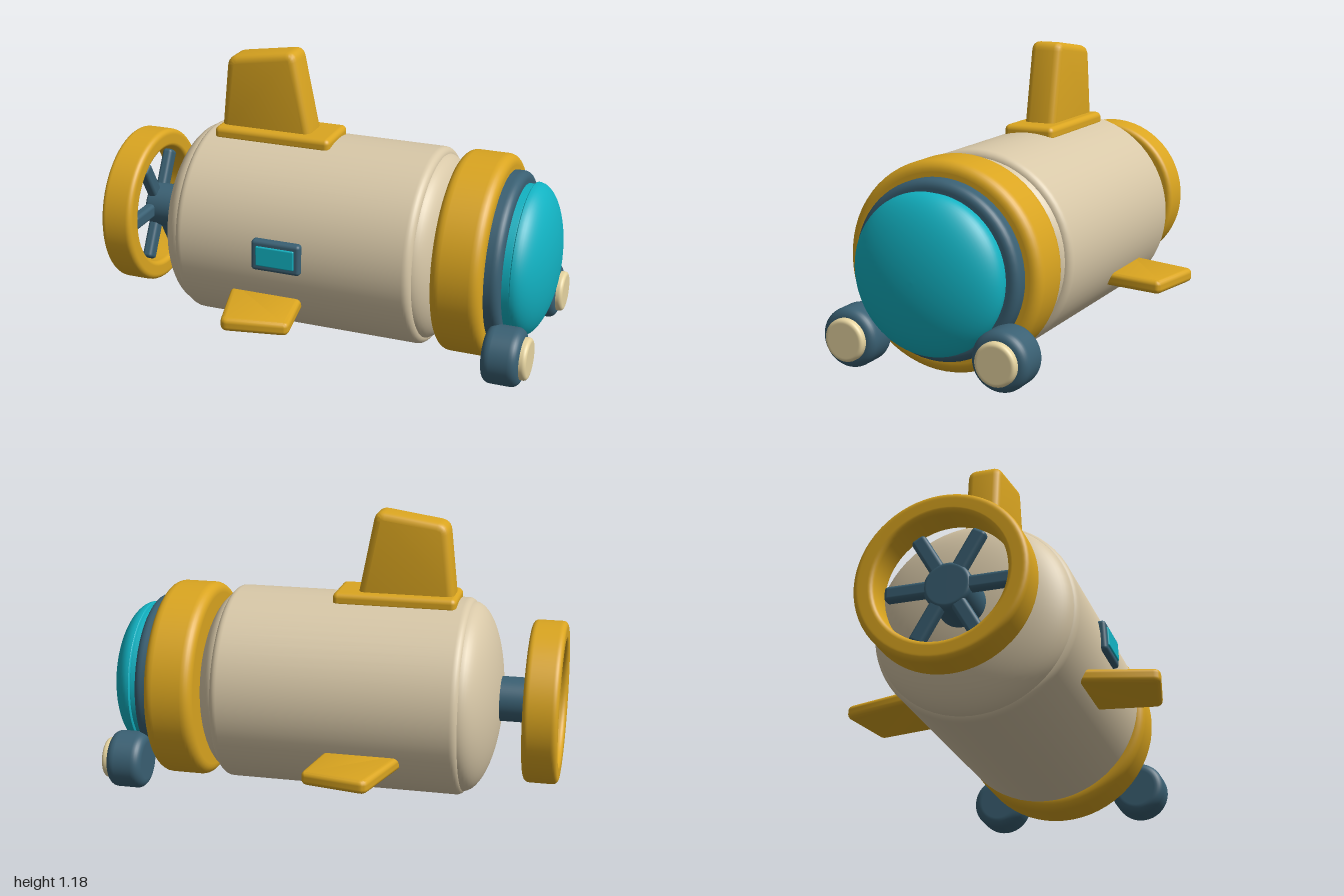
import * as THREE from 'three';
import { toCreasedNormals } from 'three/addons/utils/BufferGeometryUtils.js';
import { RoundedBoxGeometry } from 'three/addons/geometries/RoundedBoxGeometry.js';

const material = (name, color) => {
  const m = new THREE.MeshStandardMaterial({ color });
  m.name = name;
  return m;
};

// Points of a quarter ellipse around (cx, cy), from angle a to angle b
function arc(cx, cy, rx, ry, a, b, n = 7) {
  return Array.from({ length: n + 1 }, (_, i) => {
    const t = a + (b - a) * i / n;
    return new THREE.Vector2(Math.max(0, cx + rx * Math.cos(t)), cy + ry * Math.sin(t));
  });
}

// Turned solid whose axis runs along x
function turned(points, segments = 64) {
  return new THREE.LatheGeometry(points, segments).rotateZ(-Math.PI / 2);
}

// Round-edged profile between x0 and x1; inner > 0 leaves a hole
function roundedRing(r, x0, x1, bevel, inner = 0) {
  const h = Math.PI / 2, e = 0.004, P = (x, y) => new THREE.Vector2(x, y);
  const outer = [
    P(r - bevel - e, x0), ...arc(r - bevel, x0 + bevel, bevel, bevel, -h, 0),
    P(r, x0 + bevel + e), P(r, x1 - bevel - e),
    ...arc(r - bevel, x1 - bevel, bevel, bevel, 0, h), P(r - bevel - e, x1),
  ];
  if (!inner) return turned([P(0, x0), ...outer, P(0, x1)]);
  const b = 0.02;
  return turned([
    P(inner, x0 + b + e), ...arc(inner + b, x0 + b, b, b, Math.PI, Math.PI + h),
    ...outer,
    ...arc(inner + b, x1 - b, b, b, h, Math.PI), P(inner, x1 - b - e), P(inner, x0 + b + e),
  ]);
}

// Half-ellipsoid cap bulging from x by depth (negative depth bulges backwards)
function cap(r, x, depth) {
  const h = Math.PI / 2;
  return turned(depth > 0 ? arc(0, x, r, depth, 0, h, 20) : arc(0, x, r, -depth, -h, 0, 20));
}

// Plate with rounded corners and edges, centred in its thickness
function plate(corners, thickness, radius, bevel) {
  const pts = corners.map(([x, y]) => new THREE.Vector2(x, y));
  const shape = new THREE.Shape();
  pts.forEach((p, i) => {
    const prev = pts[(i + pts.length - 1) % pts.length], next = pts[(i + 1) % pts.length];
    const a = p.clone().add(prev.clone().sub(p).setLength(radius));
    const b = p.clone().add(next.clone().sub(p).setLength(radius));
    if (i) shape.lineTo(a.x, a.y); else shape.moveTo(a.x, a.y);
    shape.quadraticCurveTo(p.x, p.y, b.x, b.y);
  });
  shape.closePath();
  const depth = thickness - 2 * bevel;
  const geo = new THREE.ExtrudeGeometry(shape, {
    depth, curveSegments: 6, bevelEnabled: true, bevelThickness: bevel,
    bevelSize: bevel, bevelOffset: -bevel, bevelSegments: 4,
  }).translate(0, 0, -depth / 2);
  return toCreasedNormals(geo, 0.6);
}

export function createModel() {
  const yellow = material('yellow paint', 0xdaa520);
  const beige = material('beige hull', 0xd8c8a8);
  const steel = material('dark steel', 0x3a6073);
  const glass = material('turquoise glass', 0x12b2c2);
  const cream = material('cream lamp', 0xe6d4a0);

  const model = new THREE.Group();
  model.name = 'submarine';
  // Vessel points along its own +x, with its axis at the origin
  const vessel = new THREE.Group();
  vessel.name = 'vessel';
  vessel.position.set(0, 0.42, 0.012);
  vessel.rotation.y = -Math.PI / 12;
  model.add(vessel);

  const add = (name, geo, mat, x = 0, y = 0, z = 0, parent = vessel) => {
    const mesh = new THREE.Mesh(geo, mat);
    mesh.name = name;
    mesh.position.set(x, y, z);
    parent.add(mesh);
    return mesh;
  };

  // Hull
  add('hull', roundedRing(0.41, -0.56, 0.455, 0.03), beige);
  add('hullTail', cap(0.395, -0.55, -0.14), beige);
  add('hullFront', cap(0.385, 0.44, 0.13), beige);

  // Nose collar and domed window
  add('noseCollar', roundedRing(0.415, 0.53, 0.735, 0.04), yellow);
  add('noseFrame', roundedRing(0.353, 0.7, 0.795, 0.03), steel);
  add('noseGlassRim', roundedRing(0.305, 0.77, 0.835, 0.012), glass);
  add('noseGlass', cap(0.315, 0.83, 0.122), glass);
  add('noseGlassBack', cap(0.315, 0.83, -0.02), glass);

  // Headlamps and side fins, mirrored
  for (const side of [1, -1]) {
    add('headlampHousing', roundedRing(0.118, 0.75, 0.9, 0.035), steel, 0, -0.275, 0.322 * side);
    add('headlampLens', roundedRing(0.085, 0.88, 0.927, 0.015), cream, 0, -0.275, 0.322 * side);
    const fin = plate([[-0.335, 0.33], [-0.02, 0.33], [0.025, 0.6], [-0.245, 0.65]], 0.056, 0.03, 0.02);
    add('sideFin', fin.rotateX(side * Math.PI / 2), yellow, 0, -0.182, 0);
  }

  // Top fin on its base plate
  add('topFinBase', new RoundedBoxGeometry(0.51, 0.06, 0.225, 4, 0.022), yellow, -0.247, 0.407, 0);
  add('topFin', plate([[-0.49, 0.4], [-0.085, 0.4], [-0.16, 0.775], [-0.455, 0.73]], 0.14, 0.04, 0.03), yellow);

  // Side window on one flank
  const sideWindow = new THREE.Group();
  sideWindow.name = 'sideWindow';
  sideWindow.position.set(-0.1, 0.035, 0.408);
  sideWindow.rotation.x = -0.05;
  vessel.add(sideWindow);
  add('windowFrame', new RoundedBoxGeometry(0.21, 0.13, 0.045, 3, 0.015), steel, 0, 0, 0, sideWindow);
  add('windowGlass', new RoundedBoxGeometry(0.165, 0.083, 0.03, 3, 0.006), glass, 0, 0, 0.014, sideWindow);

  // Propeller: shaft, six blades and shroud
  add('propellerShaft', roundedRing(0.093, -0.86, -0.62, 0.015), steel);
  for (let i = 0; i < 6; i++) {
    const blade = new RoundedBoxGeometry(0.045, 0.06, 0.22, 3, 0.015).translate(0, 0, 0.135);
    add('propellerBlade', blade, steel, -0.835).rotation.x = i * Math.PI / 3;
  }
  add('propellerShroud', roundedRing(0.335, -0.94, -0.8, 0.022, 0.255), yellow);

  return model;
}
